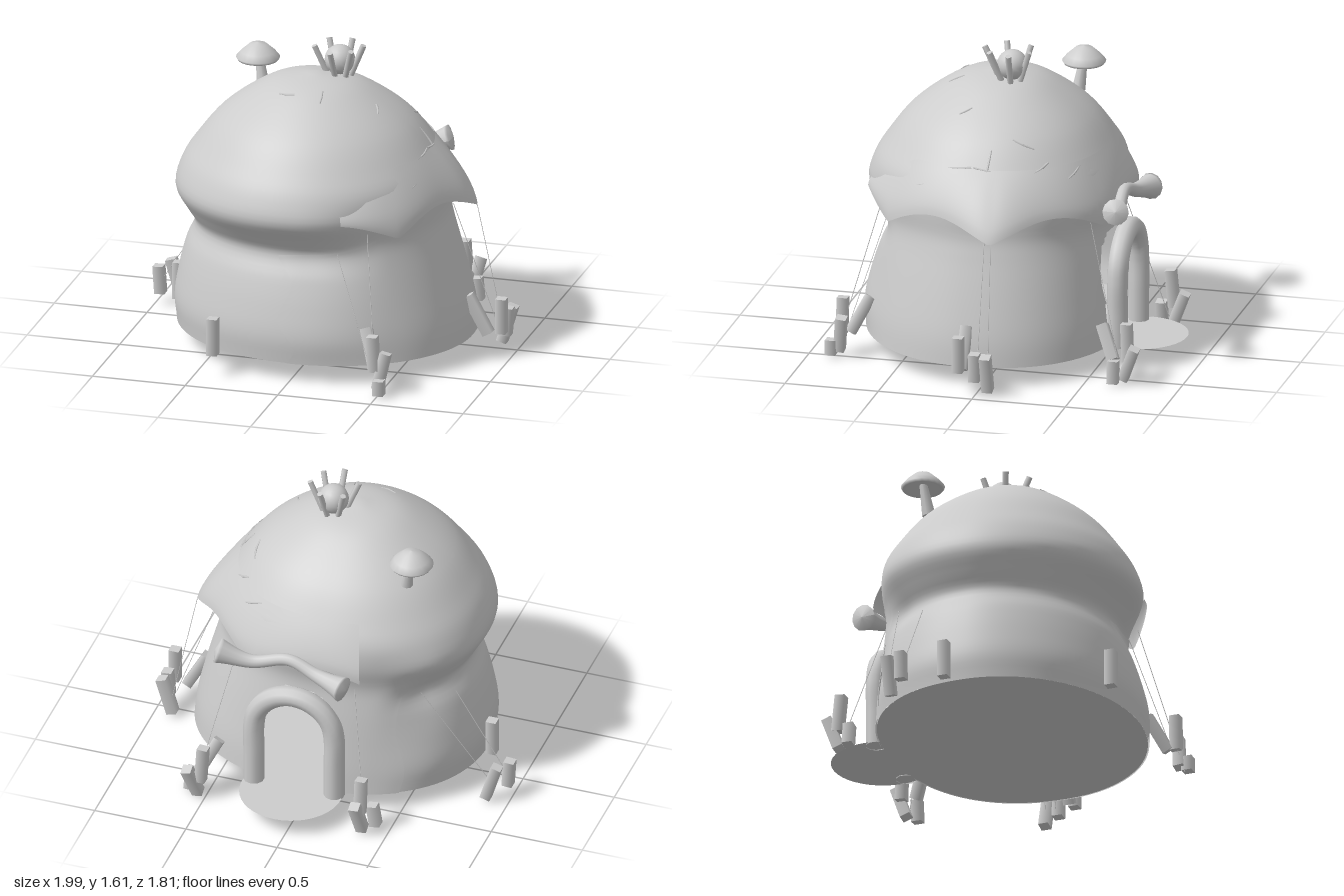
import * as THREE from 'three';
import { mergeVertices } from 'three/addons/utils/BufferGeometryUtils.js';

const V = (x, y, z) => new THREE.Vector3(x, y, z);
const RAD = Math.PI / 180;
const DOOR_X = 0.05;
const { lerp, smoothstep } = THREE.MathUtils;

// Profiles: x = radius of the bulging side, y = height, z = radius of the cloth side
const profile = new THREE.CatmullRomCurve3([
  [0.78, 0.12, 0.782], [0.79, 0.25, 0.77], [0.755, 0.4, 0.748], [0.7, 0.55, 0.725],
  [0.642, 0.67, 0.705], [0.68, 0.76, 0.692], [0.725, 0.87, 0.695], [0.69, 1.0, 0.685],
  [0.612, 1.12, 0.612], [0.505, 1.25, 0.505], [0.335, 1.38, 0.335], [0.2, 1.45, 0.2], [0, 1.49, 0],
].map((p) => V(...p)));

// Angle 0 is the front, 90 is +x, 180 the back; the plan is an off-centre oval, squarer at the back
function place(deg, r, y) {
  const s = Math.sin(deg * RAD), c = Math.cos(deg * RAD), n = 2.25;
  const k = c < 0 ? r / Math.pow(Math.pow(Math.abs(s), n) + Math.pow(-c, n), 1 / n) : r;
  const depth = 0.87 + (c < 0 ? 0.055 : 0.09) * smoothstep(y, 0.67, 0.92);
  return V(k * s - 0.06 * smoothstep(y, 0.15, 0.9), y, 0.11 + k * c * depth);
}

// How much the cloth profile replaces the bulging one
function clothAt(deg) {
  const d = ((deg % 360) + 360) % 360;
  return smoothstep(d, 8, 45) * (1 - smoothstep(d, 205, 232));
}

function shellPoint(deg, t, lift = 0) {
  const p = profile.getPoint(t);
  return place(deg, lerp(p.x, p.z, clothAt(deg)) + lift, p.y);
}

// Grid surface from a rule; cells can be left out
function surface(rule, nu, nv, skip = () => false) {
  const pos = [], index = [];
  for (let j = 0; j <= nv; j++)
    for (let i = 0; i <= nu; i++) pos.push(...rule(i / nu, j / nv).toArray());
  for (let j = 0; j < nv; j++)
    for (let i = 0; i < nu; i++) {
      if (skip(rule((i + 0.5) / nu, (j + 0.5) / nv))) continue;
      const a = j * (nu + 1) + i, b = a + 1, c = b + nu + 1, d = a + nu + 1;
      index.push(a, b, c, a, c, d);
    }
  let g = new THREE.BufferGeometry();
  g.setAttribute('position', new THREE.Float32BufferAttribute(pos, 3));
  g.setIndex(index);
  g = mergeVertices(g, 1e-5);
  g.computeVertexNormals();
  return g;
}

function inDoor(p) {
  const x = Math.abs(p.x - DOOR_X);
  return p.z < 0 && x < 0.22 && (p.y < 0.47 || Math.hypot(x, p.y - 0.47) < 0.22);
}

export function createModel() {
  const group = new THREE.Group();
  const grey = new THREE.MeshStandardMaterial({ color: 0xcccccc, side: THREE.DoubleSide });
  grey.name = 'plain grey';

  function add(name, geometry, parent = group) {
    const m = new THREE.Mesh(geometry, grey);
    m.name = name;
    parent.add(m);
    return m;
  }
  function rod(name, a, b, r0, r1, sides, parent = group) {
    const start = V(...a), end = V(...b), dir = end.clone().sub(start);
    const m = add(name, new THREE.CylinderGeometry(r1, r0, dir.length(), sides, 1, false, Math.PI / sides), parent);
    m.position.copy(start).addScaledVector(dir, 0.5);
    m.quaternion.setFromUnitVectors(V(0, 1, 0), dir.normalize());
  }
  function subgroup(name) {
    const g = new THREE.Group();
    g.name = name;
    group.add(g);
    return g;
  }

  // Hollow hut shell with a doorway at the back
  add('hutShell', surface((u, v) => shellPoint(u * 360, v), 144, 52, inDoor));

  // Cloth layer over the lower wall, with uneven edges, rising under the awning
  add('wallCloth', surface((u, v) => {
    const left = -1 + 3 * Math.sin(v * 11), right = 216 + 2 * Math.sin(v * 9);
    const deg = lerp(left, right, u);
    const top = 0.335 + 0.01 * Math.sin(deg * 0.12) + 0.11 * smoothstep(deg, 12, 50);
    return shellPoint(deg, v * top, 0.008);
  }, 96, 30, inDoor));

  // Flared awning with hanging points, widest at +x
  add('awning', surface((u, v) => {
    const deg = lerp(26, 198, u);
    const valley = Math.abs(Math.sin(((deg - 49) / 52) * Math.PI));
    const rim = 0.775 - 0.035 * valley + 0.065 * Math.exp(-(((deg - 101) / 15) ** 2));
    const top = lerp(0.93, 1.12, smoothstep(deg, 26, 60));
    const y = lerp(0.785 + 0.1 * valley, top, v);
    const dome = lerp(0.72, 0.616, (top - 0.93) / 0.19);
    return place(deg, lerp(rim, dome, Math.pow(v, 1.4)), y);
  }, 88, 10));

  // Short raised creases on the cloth side of the dome: angle, profile position, spans
  const creases = subgroup('creases');
  [
    [75, 0.66, 14, 0.01], [90, 0.67, 12, -0.01], [84, 0.6, 10, 0.015], [97, 0.64, 2, 0.08],
    [112, 0.75, 12, -0.03], [120, 0.65, 10, 0.03], [112, 0.6, 9, -0.02], [138, 0.62, 9, 0.03],
    [60, 0.58, 8, 0.02], [20, 0.86, 6, 0.05], [330, 0.88, 20, 0.01], [70, 0.8, 8, 0.02],
  ].forEach(([deg, t, dDeg, dt]) => {
    const pts = [0, 0.5, 1].map((u) => shellPoint(deg + dDeg * u, t + dt * u, 0.004 * (1 - Math.abs(2 * u - 1)) - 0.003));
    add('crease', new THREE.TubeGeometry(new THREE.CatmullRomCurve3(pts), 8, 0.006, 5), creases);
  });

  // Floor and round doormat
  add('floor', surface((u, v) => {
    const p = shellPoint(u * 360, 0);
    return V(p.x * (1 - v), 0.12, p.z * (1 - v));
  }, 72, 1));
  const mat = add('doormat', new THREE.CircleGeometry(0.27, 40));
  mat.rotation.x = -Math.PI / 2;
  mat.position.set(DOOR_X, 0.124, -0.635);

  // Door arch
  const arch = [V(DOOR_X - 0.22, 0.12, -0.59), V(DOOR_X - 0.22, 0.3, -0.59)];
  for (let i = 0; i <= 8; i++) {
    const a = Math.PI * (1 - i / 8);
    arch.push(V(DOOR_X + 0.22 * Math.cos(a), 0.47 + 0.22 * Math.sin(a), -0.59));
  }
  arch.push(V(DOOR_X + 0.22, 0.3, -0.59), V(DOOR_X + 0.22, 0.12, -0.59));
  add('doorArch', new THREE.TubeGeometry(new THREE.CatmullRomCurve3(arch), 48, 0.055, 10));

  // Rolled door cloth, flaring towards both ends
  const rollPath = new THREE.CatmullRomCurve3([
    V(0.47, 0.92, -0.63), V(0.28, 0.87, -0.6), V(0.08, 0.91, -0.58), V(-0.08, 0.86, -0.6), V(-0.25, 0.83, -0.64),
  ]);
  const rollSteps = 48, rollSides = 12;
  const roll = new THREE.TubeGeometry(rollPath, rollSteps, 1, rollSides);
  const rp = roll.attributes.position;
  for (let i = 0; i < rp.count; i++) {
    const ring = Math.floor(i / (rollSides + 1)), u = ring / rollSteps;
    const c = rollPath.getPointAt(u);
    const r = ring % rollSteps === 0 ? 0 : 0.032 + 0.042 * Math.pow(Math.abs(2 * u - 1), 3);
    const p = V().fromBufferAttribute(rp, i).sub(c).multiplyScalar(r).add(c);
    rp.setXYZ(i, p.x, p.y, p.z);
  }
  roll.computeVertexNormals();
  add('rolledDoorCloth', roll);

  // Roof finial: a ball in a ring of leaning sticks
  const finial = subgroup('finial');
  add('finialBall', new THREE.SphereGeometry(0.08, 16, 12), finial).position.set(0.05, 1.535, 0.03);
  [[-0.12, 0.06], [-0.01, 0.15], [0.09, 0.1], [0.125, -0.01], [0.04, -0.1], [-0.08, -0.08]].forEach(([x, z]) =>
    rod('finialStick', [0.05 + x * 0.45, 1.45, 0.03 + z * 0.45], [0.05 + x, 1.62, 0.03 + z], 0.016, 0.016, 6, finial));

  // Mushroom growing on the roof
  const mushroom = subgroup('mushroom');
  rod('mushroomStem', [-0.43, 1.26, -0.2], [-0.46, 1.43, -0.22], 0.035, 0.02, 10, mushroom);
  const capProfile = [[0, 1.425], [0.06, 1.41], [0.105, 1.395], [0.115, 1.41], [0.09, 1.44], [0.045, 1.48], [0, 1.49]];
  add('mushroomCap', new THREE.LatheGeometry(capProfile.map(([x, y]) => new THREE.Vector2(x, y)), 20), mushroom)
    .position.set(-0.465, 0, -0.22);

  // Square tent pegs: foot, then top
  const pegs = subgroup('pegs');
  [
    [-0.82, 0.13, 0.03, -0.82, 0.33, 0.03], [-0.88, 0.04, -0.24, -0.94, 0.24, -0.24],
    [-0.97, 0.08, -0.15, -0.98, 0.23, -0.15], [-0.41, 0.13, 0.8, -0.41, 0.33, 0.8],
    [0.94, 0.14, 0.09, 0.94, 0.33, 0.09], [0.87, 0.13, 0.09, 0.76, 0.33, 0.09],
    [0.94, 0.1, 0, 0.95, 0.25, 0], [0.9, 0.04, -0.06, 0.96, 0.24, -0.06],
    [0.47, 0.14, 0.83, 0.46, 0.33, 0.83], [0.46, 0.14, 0.79, 0.39, 0.32, 0.7],
    [0.49, 0.05, 0.84, 0.53, 0.24, 0.82], [0.51, 0.03, 0.88, 0.51, 0.11, 0.88],
    [0.52, 0.13, -0.71, 0.51, 0.33, -0.7], [0.55, 0.14, -0.64, 0.47, 0.3, -0.56],
    [0.54, 0.04, -0.69, 0.58, 0.22, -0.76], [0.6, 0.03, -0.65, 0.59, 0.15, -0.65],
    [-0.36, 0.14, -0.73, -0.36, 0.34, -0.71], [-0.37, 0.04, -0.72, -0.35, 0.22, -0.79],
    [-0.42, 0.03, -0.65, -0.4, 0.15, -0.65],
  ].forEach((p) => rod('peg', p.slice(0, 3), p.slice(3), 0.039, 0.039, 4, pegs));

  // Guy ropes from the cloth to the pegs
  const ropes = subgroup('guyRopes');
  [
    [0.77, 0.79, -0.04, 0.91, 0.1, -0.06], [0.66, 0.8, 0.02, 0.9, 0.13, 0],
    [0.38, 0.82, 0.65, 0.49, 0.02, 0.87], [0.22, 0.7, 0.66, 0.44, 0.15, 0.81],
    [0.4, 0.83, -0.48, 0.56, 0.08, -0.68], [-0.25, 0.75, -0.5, -0.37, 0.08, -0.7],
    [-0.55, 0.68, -0.32, -0.91, 0.15, -0.25], [-0.68, 0.6, -0.14, -0.97, 0.14, -0.15],
  ].forEach((p) => rod('guyRope', p.slice(0, 3), p.slice(3), 0.002, 0.002, 4, ropes));

  return group;
}
